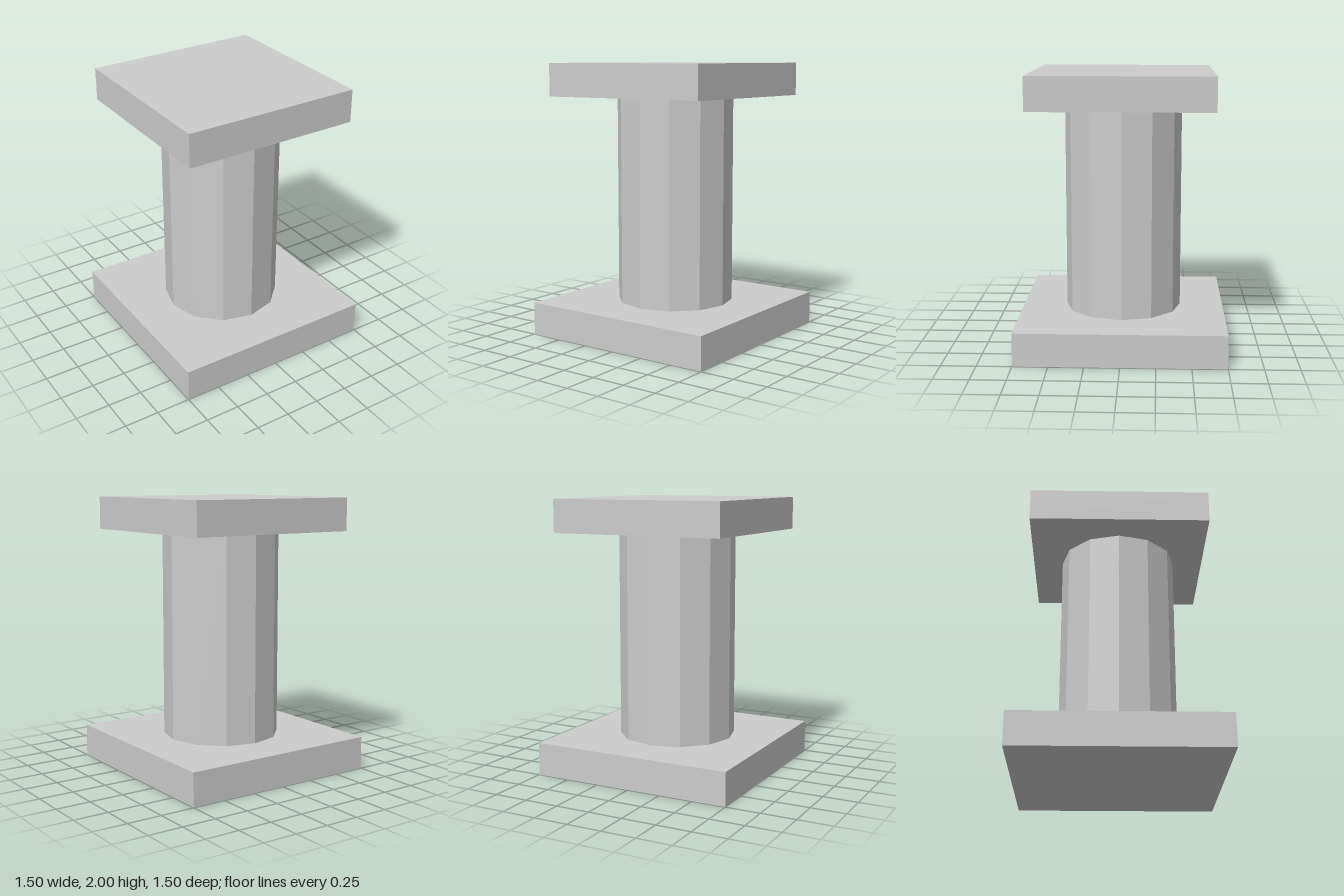
import * as THREE from 'three';

// A square-based pedestal: plinth, twelve-sided shaft and cap slab.
export function createModel() {
  const model = new THREE.Group();
  model.name = 'pedestal';

  const stone = new THREE.MeshStandardMaterial({ color: 0xcccccc });
  stone.name = 'grey stone';

  const plinthHeight = 0.24;
  const capHeight = 0.24;
  const shaftHeight = 2 - plinthHeight - capHeight;

  const addPart = (name, geometry, y) => {
    const mesh = new THREE.Mesh(geometry, stone);
    mesh.name = name;
    mesh.position.y = y;
    model.add(mesh);
  };

  // Wide slab on the ground
  addPart('plinth', new THREE.BoxGeometry(1.496, plinthHeight, 1.496), plinthHeight / 2);

  // Faceted column, with a corner facing the front; toNonIndexed keeps the facets flat
  const shaft = new THREE.CylinderGeometry(0.428, 0.428, shaftHeight, 12).toNonIndexed();
  shaft.computeVertexNormals();
  addPart('shaft', shaft, plinthHeight + shaftHeight / 2);

  // Slightly smaller slab on top
  addPart('cap', new THREE.BoxGeometry(1.296, capHeight, 1.296), 2 - capHeight / 2);

  return model;
}
